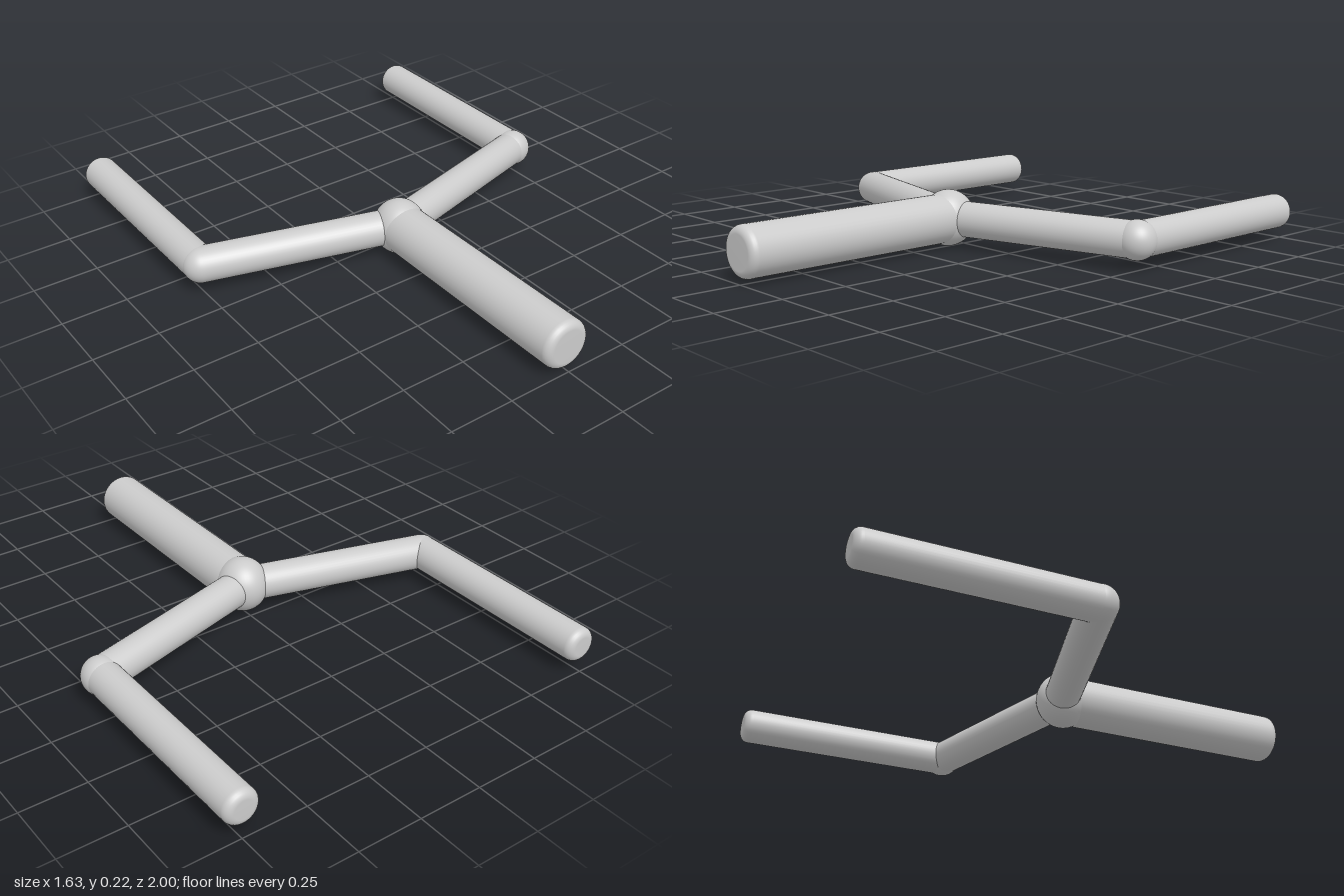
import * as THREE from 'three';

const Y = 0.11;
const material = new THREE.MeshStandardMaterial({ color: 0xcccccc });

// Round rod running from a to b, with a small fillet at the b end
function rod(name, a, b, radius, fillet = 0) {
  const length = a.distanceTo(b);
  const profile = [new THREE.Vector2(0, 0), new THREE.Vector2(radius, 0), new THREE.Vector2(radius, 0.001)];
  const steps = fillet ? 6 : 0;
  for (let i = 0; i <= steps; i++) {
    const t = steps ? (i / steps) * Math.PI / 2 : 0;
    profile.push(new THREE.Vector2(radius - fillet + fillet * Math.cos(t), length - fillet + fillet * Math.sin(t)));
  }
  profile.push(new THREE.Vector2(0, length));
  const mesh = new THREE.Mesh(new THREE.LatheGeometry(profile, 40), material);
  mesh.name = name;
  mesh.position.copy(a);
  mesh.quaternion.setFromUnitVectors(new THREE.Vector3(0, 1, 0), b.clone().sub(a).normalize());
  return mesh;
}

// Ball joint covering the meeting point of two rods
function ball(name, center, rx, ry = rx, rz = rx) {
  const mesh = new THREE.Mesh(new THREE.SphereGeometry(1, 40, 28), material);
  mesh.name = name;
  mesh.position.copy(center);
  mesh.scale.set(rx, ry, rz);
  return mesh;
}

export function createModel() {
  const model = new THREE.Group();
  model.name = 'forkedRod';

  // Handle and central hub
  const hub = new THREE.Vector3(-0.01, Y, 0.07);
  model.add(rod('handle', hub, new THREE.Vector3(-0.01, Y, 1), 0.094, 0.03));
  model.add(ball('hub', hub, 0.1, 0.108, 0.104));

  // Swept arms, elbows and prongs on both sides
  for (const [side, x, elbowRadius] of [['left', 0.741, 0.073], ['right', -0.745, 0.068]]) {
    const start = new THREE.Vector3(-0.005, Y, 0.062);
    const elbow = new THREE.Vector3(x, Y, -0.146);
    model.add(rod(side + 'Arm', start, elbow, 0.068));
    model.add(ball(side + 'Elbow', elbow, elbowRadius));
    model.add(rod(side + 'Prong', elbow, new THREE.Vector3(x, Y, -1), 0.067, 0.03));
  }
  return model;
}
